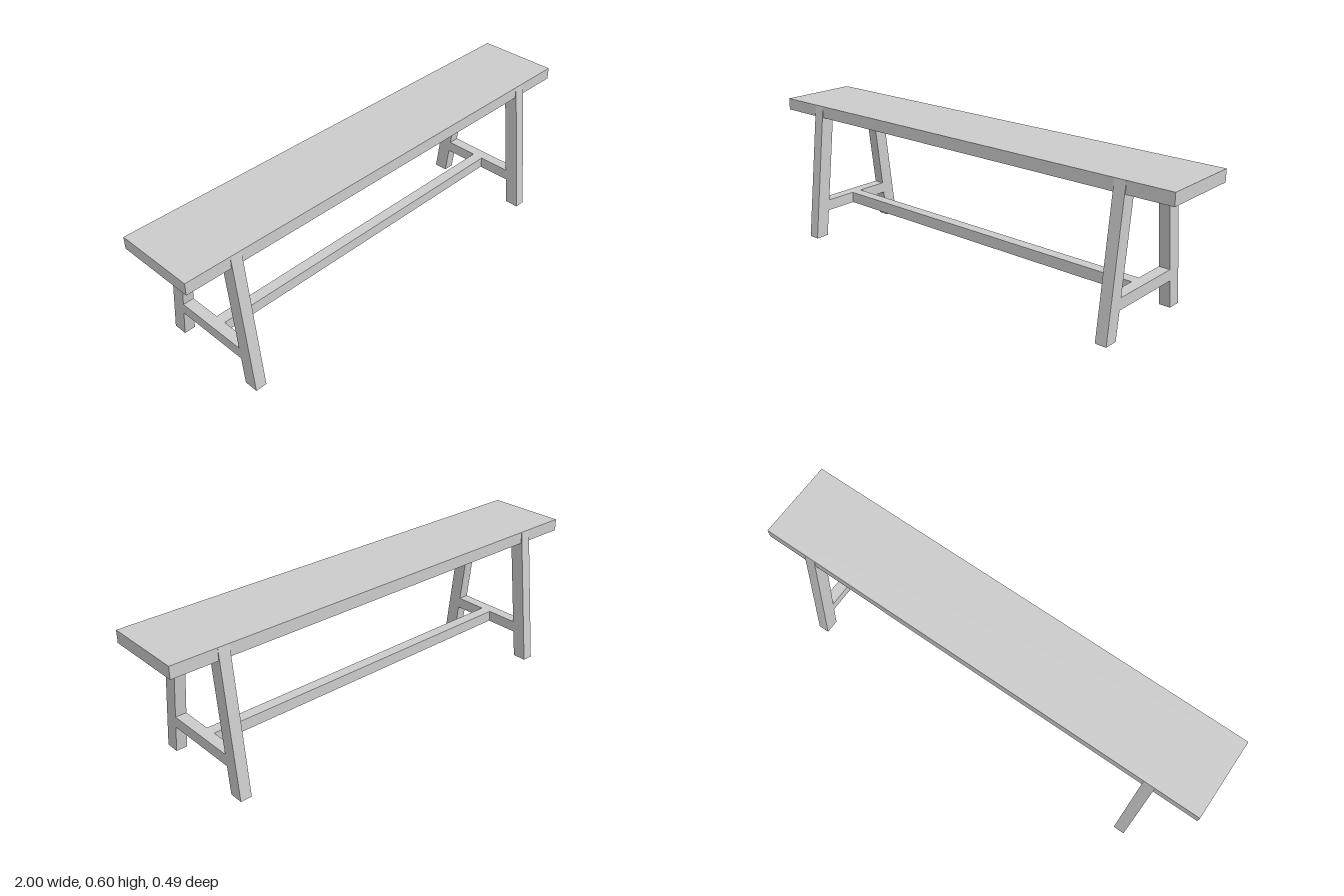
import * as THREE from 'three';

const THICK = 0.048;   // timber thickness of legs, rails and stretcher
const LEG_X = 0.787;   // centre of each leg frame
const SLOPE = 0.073 / 0.6; // inward lean of the legs

const outer = y => 0.245 - SLOPE * y;
const inner = y => 0.185 - SLOPE * y;

export function createModel() {
  const bench = new THREE.Group();
  bench.name = 'bench';
  const material = new THREE.MeshStandardMaterial({ color: 0xcccccc, flatShading: true });

  const add = (name, geometry, parent) => {
    const mesh = new THREE.Mesh(geometry, material);
    mesh.name = name;
    parent.add(mesh);
    return mesh;
  };

  // Board cut to a (z, y) outline, with its thickness along x
  const board = points => {
    const shape = new THREE.Shape(points.map(([z, y]) => new THREE.Vector2(z, y)));
    return new THREE.ExtrudeGeometry(shape, { depth: THICK, bevelEnabled: false })
      .translate(0, 0, -THICK / 2)
      .rotateY(-Math.PI / 2);
  };

  // Seat plank
  add('seat', new THREE.BoxGeometry(2, 0.051, 0.344), bench).position.y = 0.5745;

  // Two end frames: splayed legs running up into the seat, joined by a cross rail
  const [low, high] = [0.117, 0.165];
  for (const side of [1, -1]) {
    const frame = new THREE.Group();
    frame.name = side > 0 ? 'leftLegFrame' : 'rightLegFrame';
    frame.position.x = side * LEG_X;
    bench.add(frame);

    const leg = [[inner(0), 0], [outer(0), 0], [outer(0.6), 0.6], [inner(0.6), 0.6]];
    add('frontLeg', board(leg), frame);
    add('backLeg', board(leg.map(([z, y]) => [-z, y])), frame);
    add('crossRail', board([
      [-inner(low), low], [inner(low), low], [inner(high), high], [-inner(high), high],
    ]), frame);
  }

  // Long stretcher between the cross rails
  const length = 2 * LEG_X - THICK;
  add('stretcher', new THREE.BoxGeometry(length, THICK, THICK), bench).position.y = (low + high) / 2;

  return bench;
}
